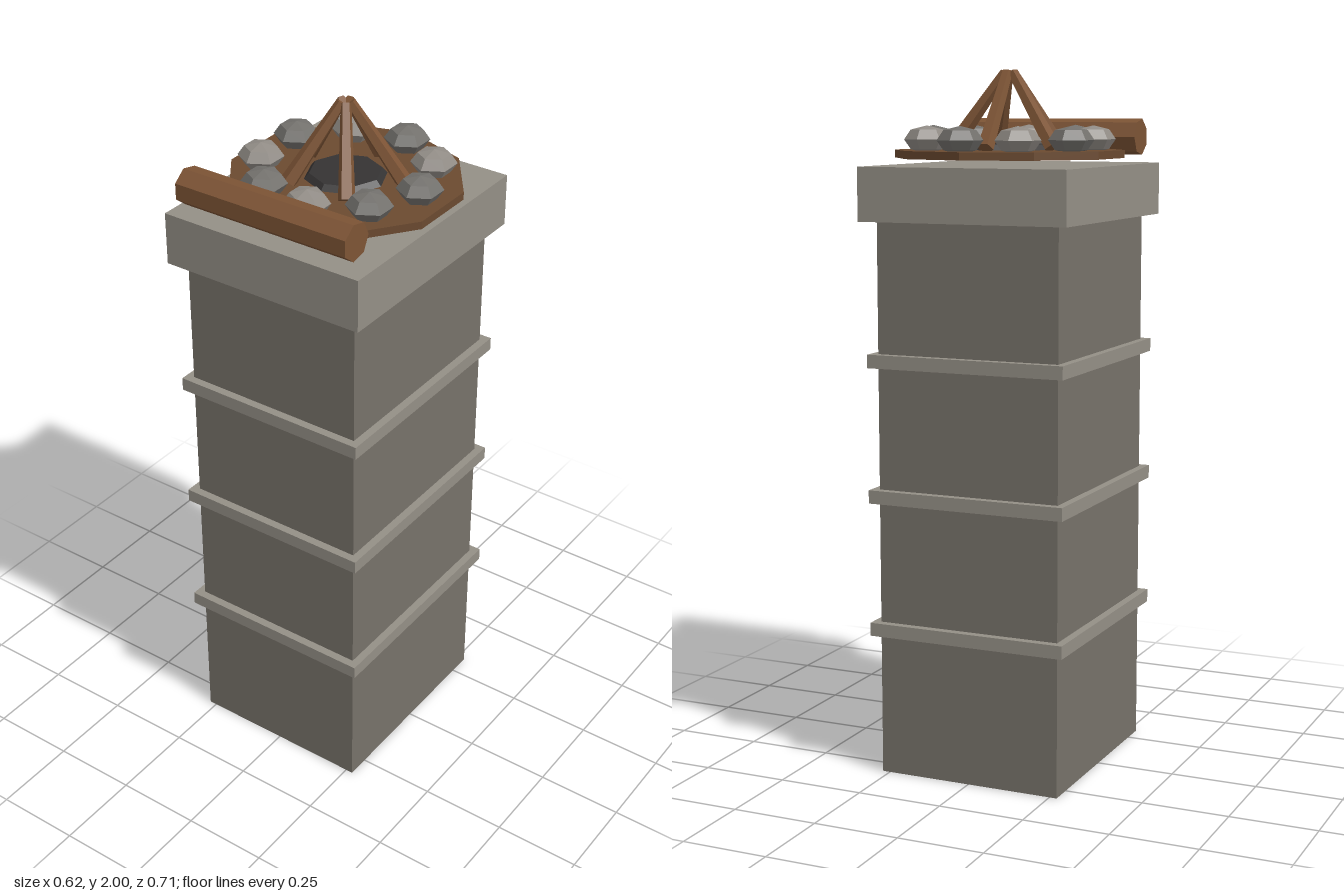
import * as THREE from 'three';

const mat = (color) => new THREE.MeshStandardMaterial({ color, flatShading: true });
const STONE = mat(0x77726a), TRIM = mat(0x948f86), WOOD = mat(0x7d5435), EARTH = mat(0x6b4a30);
const ASH = mat(0x353333), ROCK_DARK = mat(0x73716d), ROCK_LIGHT = mat(0x918c86);
const FIRE_Z = -0.031; // centre of the campfire

function add(parent, name, geometry, material, x = 0, y = 0, z = 0) {
  const mesh = new THREE.Mesh(geometry, material);
  mesh.name = name;
  mesh.position.set(x, y, z);
  parent.add(mesh);
  return mesh;
}

// Box centred on x and z, between two heights
function slab(parent, name, material, w, d, y0, y1) {
  return add(parent, name, new THREE.BoxGeometry(w, y1 - y0, d), material, 0, (y0 + y1) / 2, 0);
}

export function createModel() {
  const model = new THREE.Group();
  model.name = 'campfireTower';

  // Stone pillar with bands and a cap
  slab(model, 'pillar', STONE, 0.544, 0.632, 0, 1.585);
  for (const y of [0.427, 0.812, 1.197]) slab(model, 'band', TRIM, 0.59, 0.68, y - 0.019, y + 0.019);
  slab(model, 'cap', TRIM, 0.62, 0.712, 1.585, 1.735);

  // Campfire on a ten-sided base
  const fire = new THREE.Group();
  fire.name = 'campfire';
  fire.position.z = FIRE_Z;
  model.add(fire);
  add(fire, 'fireBase', new THREE.CylinderGeometry(0.326, 0.326, 0.022, 10), EARTH, 0, 1.766, 0);
  add(fire, 'ashPit', new THREE.CylinderGeometry(0.1, 0.114, 0.016, 8), ASH, 0, 1.785, 0);

  // Ring of nine rocks
  const rock = new THREE.SphereGeometry(0.064, 6, 4).rotateY(Math.PI / 6).scale(1, 0.6, 1);
  for (let i = 0; i < 9; i++) {
    const a = (i * 40 * Math.PI) / 180;
    const material = i === 0 || i % 2 ? ROCK_DARK : ROCK_LIGHT;
    add(fire, 'rock', rock, material, 0.237 * Math.cos(a), 1.807, 0.237 * Math.sin(a));
  }

  // Five tapered sticks leaning together
  const up = new THREE.Vector3(0, 1, 0);
  for (let i = 0; i < 5; i++) {
    const a = -Math.PI / 2 + (i * 2 * Math.PI) / 5;
    const foot = new THREE.Vector3(0.16 * Math.cos(a), 1.785, 0.16 * Math.sin(a));
    const tip = new THREE.Vector3(0.012 * Math.cos(a), 1.992, 0.012 * Math.sin(a));
    const axis = tip.clone().sub(foot);
    const stick = add(fire, 'stick', new THREE.CylinderGeometry(0.015, 0.024, axis.length(), 5), WOOD);
    stick.position.addVectors(foot, tip).multiplyScalar(0.5);
    stick.quaternion.setFromUnitVectors(up, axis.normalize());
  }

  // Log seat along the front edge
  const log = new THREE.CylinderGeometry(0.0535, 0.0535, 0.54, 7, 1, false, Math.PI).rotateZ(Math.PI / 2);
  add(model, 'logSeat', log, WOOD, 0, 1.81, 0.3065);

  return model;
}
